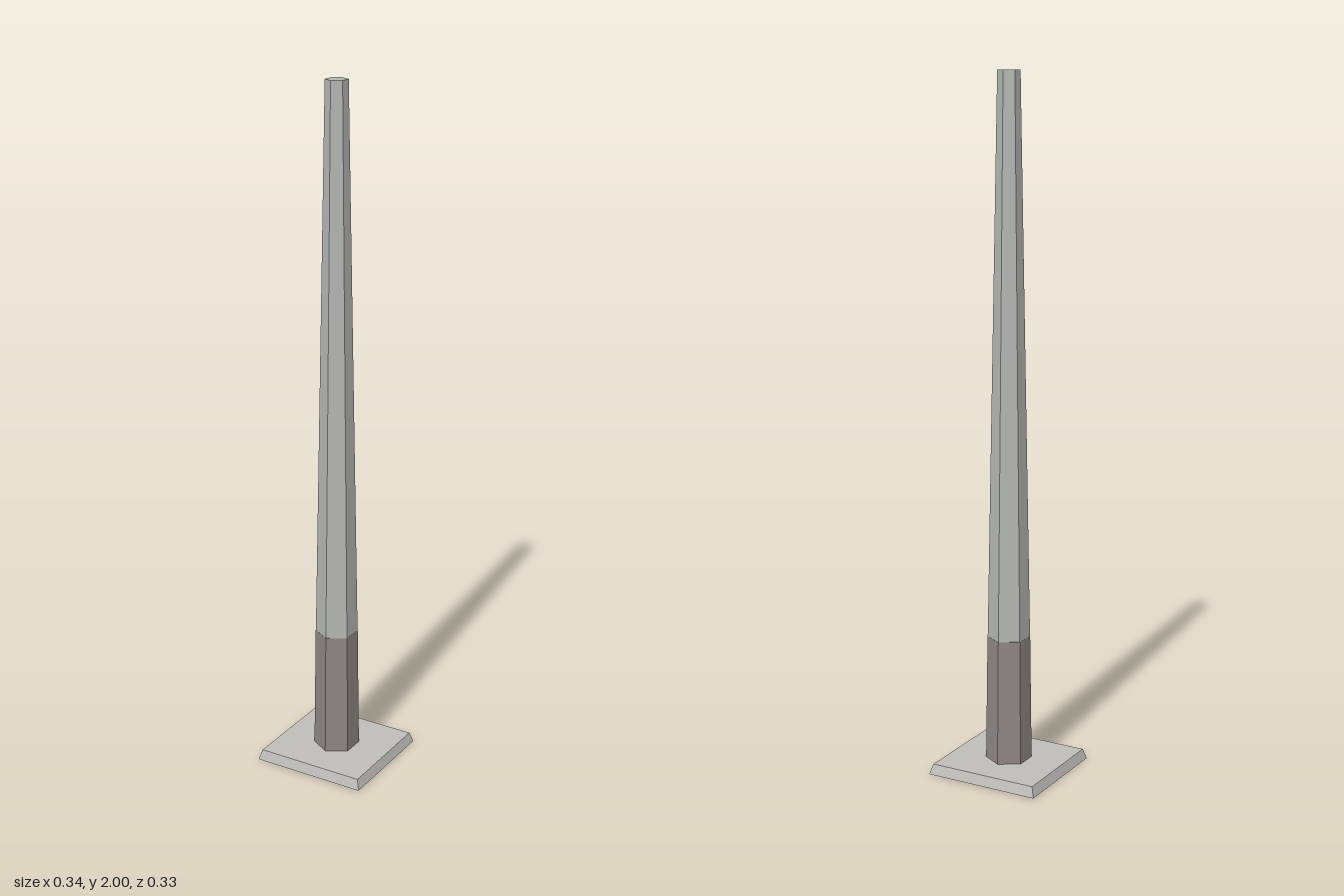
import * as THREE from 'three';

export function createModel() {
  const model = new THREE.Group();
  const material = (name, color) => {
    const m = new THREE.MeshStandardMaterial({ color, flatShading: true });
    m.name = name;
    return m;
  };
  const plateGrey = material('plate grey', 0xbdbcb9);
  const shaftGrey = material('shaft grey', 0xb3b5b1);
  const sleeveBrown = material('sleeve brown grey', 0x8c8683);

  const add = (name, geometry, mat) => {
    const mesh = new THREE.Mesh(geometry, mat);
    mesh.name = name;
    model.add(mesh);
  };

  // Six-sided tapered section with corners on the z axis
  const hexSection = (rBottom, rTop, y0, y1) =>
    new THREE.CylinderGeometry(rTop, rBottom, y1 - y0, 6).translate(0, (y0 + y1) / 2, 0);

  // Rectangular foot plate, its top edge drawn in to slope the sides
  const plate = new THREE.BoxGeometry(0.344, 0.03, 0.33).translate(0, 0.015, 0);
  const p = plate.attributes.position;
  for (let i = 0; i < p.count; i++) {
    if (p.getY(i) > 0.015) {
      p.setX(i, p.getX(i) - Math.sign(p.getX(i)) * 0.009);
      p.setZ(i, p.getZ(i) - Math.sign(p.getZ(i)) * 0.009);
    }
  }
  plate.computeVertexNormals();
  add('footPlate', plate, plateGrey);

  // Darker lower section, then the long tapering pole
  add('lowerSleeve', hexSection(0.0665, 0.0615, 0.03, 0.4), sleeveBrown);
  add('poleShaft', hexSection(0.061, 0.0315, 0.4, 2), shaftGrey);

  return model;
}
